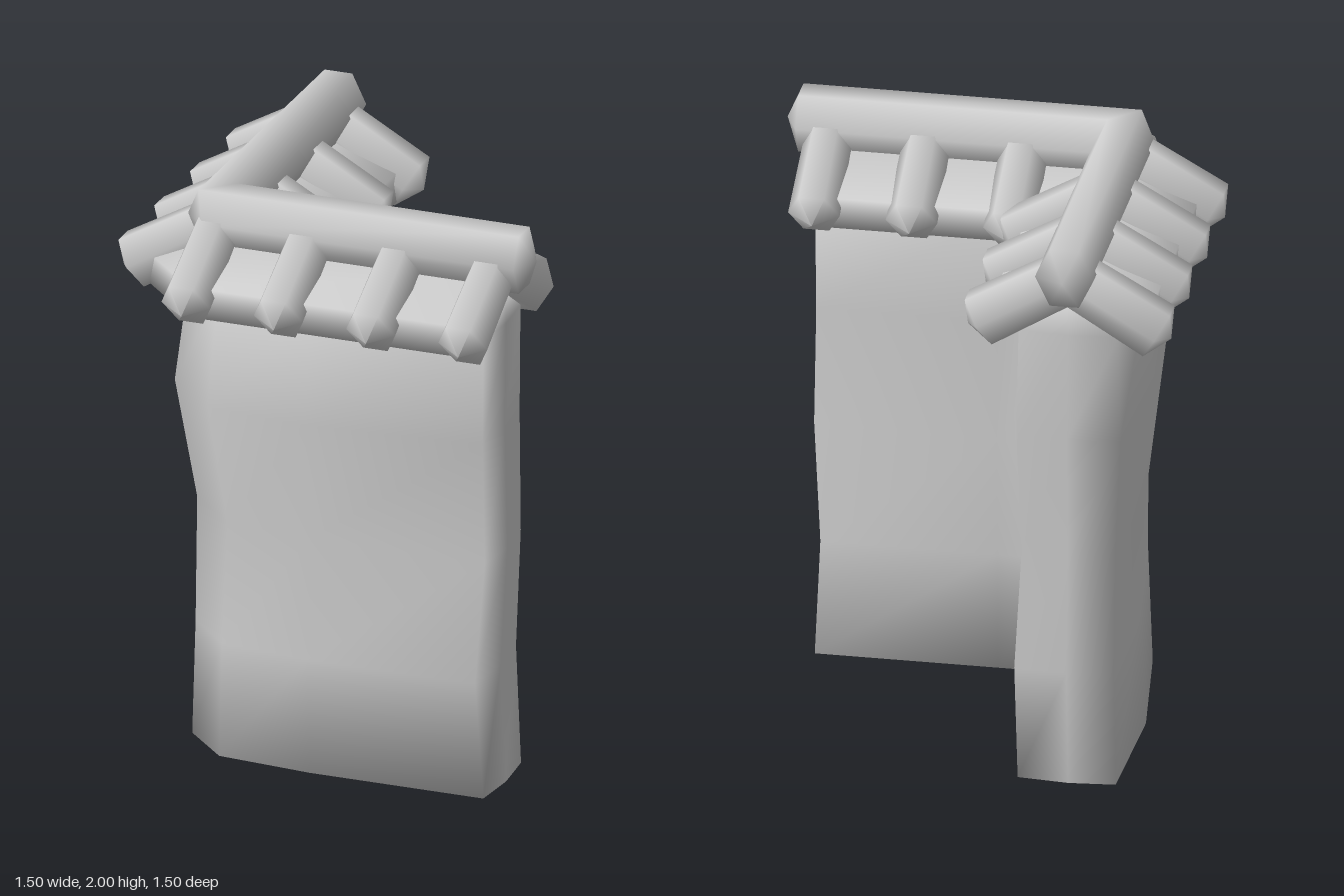
import * as THREE from 'three';
import { mergeVertices } from 'three/addons/utils/BufferGeometryUtils.js';

const material = new THREE.MeshStandardMaterial({ color: 0xcccccc });
const CORNER = { x: -0.4, z: 0.4 }; // where the two arms' centre lines meet

function part(name, geometry) {
  const mesh = new THREE.Mesh(geometry, material);
  mesh.name = name;
  return mesh;
}

// Smooth skin over a row of closed cross-sections (the end sections collapse to a line or point)
function skin(sections) {
  const n = sections[0].length;
  const index = [];
  for (let i = 0; i < sections.length - 1; i++) {
    for (let j = 0; j < n; j++) {
      const k = (j + 1) % n, a = i * n, b = a + n;
      index.push(b + j, a + j, a + k, b + j, a + k, b + k);
    }
  }
  let geometry = new THREE.BufferGeometry();
  geometry.setAttribute('position', new THREE.Float32BufferAttribute(sections.flat(2), 3));
  geometry.setIndex(index);
  geometry = mergeVertices(geometry, 1e-4);
  geometry.computeVertexNormals();
  return geometry;
}

// Points at a distance d outside (+) or inside (-) the centre line of each arm
const onFront = (x, d, y) => [x, y, CORNER.z + d];
const onSide = (z, d, y) => [CORNER.x - d, y, z];
const onMitre = (d, y) => [CORNER.x - d, y, CORNER.z + d];

// Uneven wall, one row per height: offsets of the front, side and inner faces as
// [arm end, arm middle], the arm ends, and the two edges of the cut corner
const wallRows = [
  { y: 0.0, front: [0.17, 0.17], side: [0.16, 0.17], inner: [0.175, 0.175], endX: 0.64, endZ: -0.635, a: [-0.34, 0.54], b: [-0.5, 0.38] },
  { y: 0.42, front: [0.195, 0.195], side: [0.16, 0.15], inner: [0.18, 0.18], endX: 0.62, endZ: -0.67, a: [-0.32, 0.565], b: [-0.48, 0.4] },
  { y: 0.85, front: [0.17, 0.165], side: [0.16, 0.17], inner: [0.16, 0.195], endX: 0.645, endZ: -0.64, a: [-0.31, 0.54], b: [-0.49, 0.36] },
  { y: 1.28, front: [0.165, 0.225], side: [0.18, 0.2], inner: [0.175, 0.17], endX: 0.635, endZ: -0.66, a: [-0.36, 0.595], b: [-0.555, 0.4] },
  { y: 1.66, front: [0.17, 0.17], side: [0.17, 0.18], inner: [0.17, 0.17], endX: 0.64, endZ: -0.645, a: [-0.34, 0.555], b: [-0.51, 0.38] },
];

function wallGeometry() {
  const peak = 1.78, bulge = 0.015, midX = 0, midZ = -0.12;
  // outer face going up, peak, inner face going down
  const section = (outer, top, inner) =>
    [...wallRows.map(outer), top, ...[...wallRows].reverse().map(inner)];
  const frontEnd = (r) => onFront(r.endX, 0, r.y);
  const sideEnd = (r) => onSide(r.endZ, 0, r.y);
  const mitre = (r) => onMitre(-r.inner[1], r.y);
  return skin([
    section(frontEnd, onFront(0.64, 0, peak), frontEnd),
    section((r) => onFront(r.endX - bulge, r.front[0], r.y), onFront(0.64, 0, peak), (r) => onFront(r.endX - bulge, -r.inner[0], r.y)),
    section((r) => onFront(midX, r.front[1], r.y), onFront(midX, 0, peak), (r) => onFront(midX, -r.inner[1], r.y)),
    section((r) => [r.a[0], r.y, r.a[1]], onMitre(0, peak), mitre),
    section((r) => [r.b[0], r.y, r.b[1]], onMitre(0, peak), mitre),
    section((r) => onSide(midZ, r.side[1], r.y), onSide(midZ, 0, peak), (r) => onSide(midZ, -r.inner[1], r.y)),
    section((r) => onSide(r.endZ + bulge, r.side[0], r.y), onSide(-0.645, 0, peak), (r) => onSide(r.endZ + bulge, -r.inner[0], r.y)),
    section(sideEnd, onSide(-0.645, 0, peak), sideEnd),
  ]);
}

// Sweep a profile of [d, y] points along both arms: mitred at the corner,
// with the outermost edge bevelled there and each end closed around a tip
function sweepArms(profile, { end, tip, tipY, bevel }) {
  const atCorner = (beveled) => profile.map(([d, y]) => (d > 0.06 ? beveled(d, y) : onMitre(d, y)));
  return skin([
    profile.map(() => onFront(tip, 0, tipY)),
    profile.map(([d, y]) => onFront(end, d, y)),
    atCorner((d, y) => onFront(-bevel, d, y)),
    atCorner((d, y) => onSide(bevel, d, y)),
    profile.map(([d, y]) => onSide(-end, d, y)),
    profile.map(() => onSide(-tip, 0, tipY)),
  ]);
}

const roofProfile = [[0.26, 1.625], [0.265, 1.735], [0, 1.84], [-0.275, 1.735], [-0.27, 1.625], [0, 1.775]];
const ridgeProfile = [[0.1, 1.897], [0.05, 2], [-0.05, 2], [-0.1, 1.897], [-0.05, 1.794], [0.05, 1.794]];

export function createModel() {
  const model = new THREE.Group();
  model.name = 'cornerWall';
  model.add(
    part('wall', wallGeometry()),
    part('roofSlab', sweepArms(roofProfile, { end: 0.64, tip: 0.64, tipY: 1.8, bevel: 0.4 })),
    part('ridgeRoll', sweepArms(ridgeProfile, { end: 0.705, tip: 0.75, tipY: 1.897, bevel: 0.42 })),
  );

  // Six-sided cover tile with a pointed end, flat faces up and down
  const tile = new THREE.LatheGeometry(
    [[0, 0], [0.082, 0], [0.088, 0.353], [0, 0.403]].map(([r, y]) => new THREE.Vector2(r, y)), 6);
  tile.rotateY(Math.PI / 2);
  tile.scale(1, 1, 1.19);
  const slope = Math.PI / 2 + Math.atan(0.59);

  // Each arm starts at the corner and runs along its own +x
  const arms = [
    { name: 'frontTiles', turn: 0, outer: 1, first: 0.005, step: 0.333 },
    { name: 'sideTiles', turn: Math.PI / 2, outer: -1, first: 0.022, step: 0.328 },
  ];
  for (const { name, turn, outer, first, step } of arms) {
    const arm = new THREE.Group();
    arm.name = name;
    arm.position.set(CORNER.x, 0, CORNER.z);
    arm.rotation.y = turn;
    for (let i = 0; i < 4; i++) {
      for (const side of [outer, -outer]) {
        if (i === 0 && side !== outer) continue; // no inner tile at the corner
        const cover = part('coverTile', tile);
        cover.position.set(first + i * step, 1.865, 0);
        cover.rotation.x = side * slope;
        arm.add(cover);
      }
    }
    model.add(arm);
  }
  return model;
}
